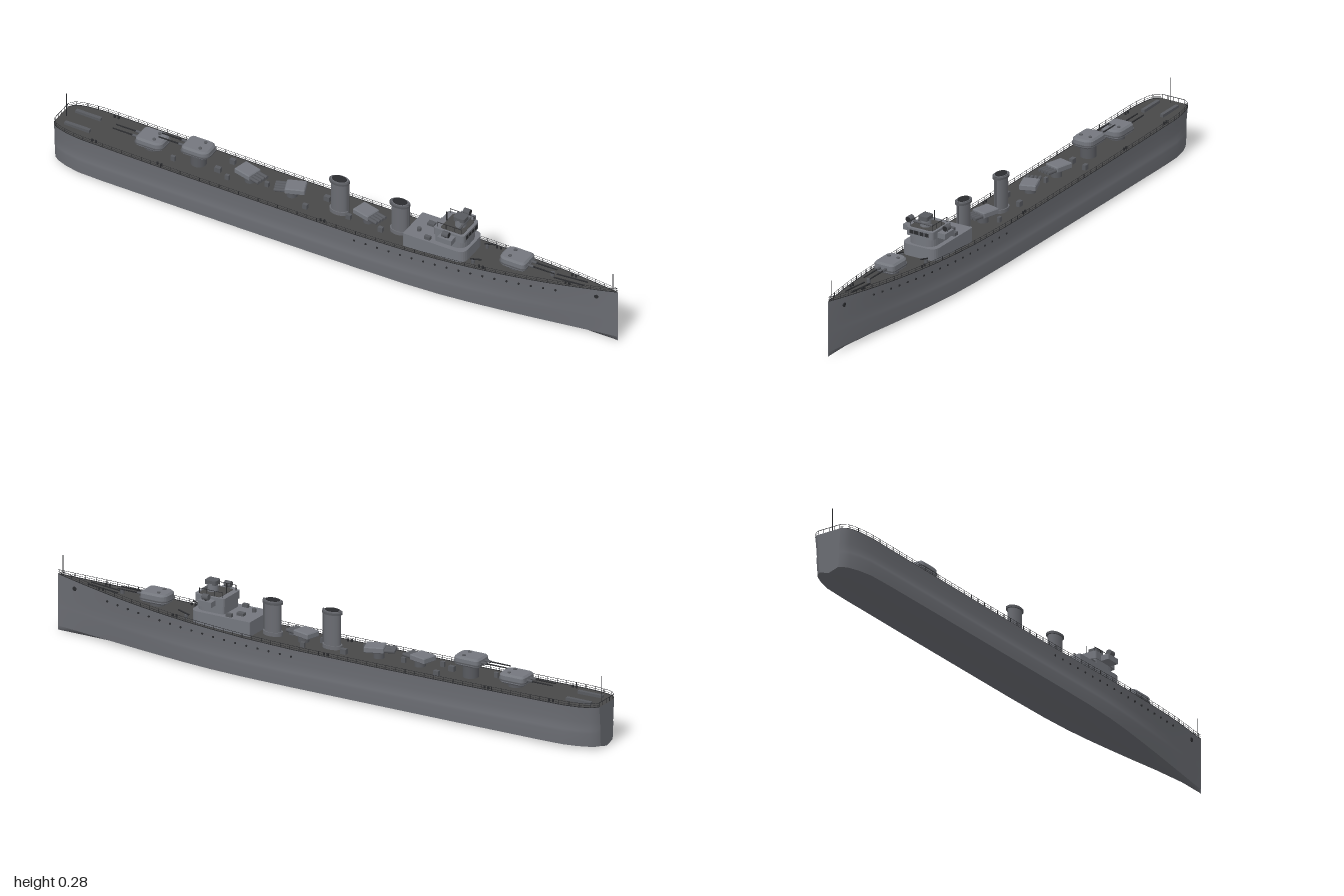
import * as THREE from 'three';

const mat = (name, color) => Object.assign(new THREE.MeshStandardMaterial({ color }), { name });
const GREY = mat('hull grey', 0x6a6c72);
const LIGHT = mat('superstructure grey', 0x74777e);
const DECK = mat('deck dark grey', 0x484848);
const DARK = mat('fittings charcoal', 0x2a2b2e);
const FITTING = mat('equipment grey', 0x585a5f);

// Deck half-width, deck height and bottom fullness along the hull
const STATIONS = [
  [-1, 0.045, 0.143, 0.75], [-0.992, 0.058, 0.143, 0.8], [-0.975, 0.068, 0.143, 0.85],
  [-0.94, 0.077, 0.142, 0.92], [-0.89, 0.083, 0.141, 0.98], [-0.8, 0.084, 0.14, 1],
  [-0.5, 0.085, 0.137, 1], [-0.2, 0.085, 0.135, 1], [0.1, 0.085, 0.135, 1],
  [0.28, 0.083, 0.139, 1], [0.4, 0.079, 0.144, 0.98], [0.5, 0.073, 0.149, 0.93],
  [0.6, 0.064, 0.155, 0.87], [0.7, 0.053, 0.162, 0.8], [0.8, 0.039, 0.17, 0.72],
  [0.9, 0.021, 0.178, 0.66], [0.96, 0.009, 0.183, 0.62], [1, 0.0008, 0.187, 0.6],
];
function at(x, col) {
  let i = 1;
  while (i < STATIONS.length - 1 && STATIONS[i][0] < x) i++;
  const a = STATIONS[i - 1], b = STATIONS[i];
  return THREE.MathUtils.lerp(a[col], b[col], (x - a[0]) / (b[0] - a[0]));
}
const halfWidth = (x) => at(x, 1), deckY = (x) => at(x, 2);

function add(parent, name, geo, material, x = 0, y = 0, z = 0) {
  const m = new THREE.Mesh(geo, material);
  m.name = name;
  m.position.set(x, y, z);
  parent.add(m);
  return m;
}
const box = (w, h, d) => new THREE.BoxGeometry(w, h, d);
const cyl = (r, h, n = 16, r2 = r) => new THREE.CylinderGeometry(r2, r, h, n);

// Smooth surface through equal-length rows of points
function skin(rows) {
  const n = rows[0].length, idx = [];
  for (let i = 0; i < rows.length - 1; i++) for (let k = 0; k < n - 1; k++) {
    const a = i * n + k, b = a + n;
    idx.push(a, a + 1, b, b, a + 1, b + 1);
  }
  const g = new THREE.BufferGeometry();
  g.setAttribute('position', new THREE.Float32BufferAttribute(rows.flat(2), 3));
  g.setIndex(idx);
  g.computeVertexNormals();
  return g;
}

// Upright block with a rounded-rectangle plan: corner radii for aft and fore
function block(x0, x1, hw, h, aft, fore, bevel = 0) {
  const s = new THREE.Shape();
  s.moveTo(x0 + aft, -hw).lineTo(x1 - fore, -hw);
  s.quadraticCurveTo(x1, -hw, x1, -hw + fore).lineTo(x1, hw - fore);
  s.quadraticCurveTo(x1, hw, x1 - fore, hw).lineTo(x0 + aft, hw);
  s.quadraticCurveTo(x0, hw, x0, hw - aft).lineTo(x0, -hw + aft);
  s.quadraticCurveTo(x0, -hw, x0 + aft, -hw);
  const g = new THREE.ExtrudeGeometry(s, {
    depth: h - 2 * bevel, curveSegments: 6, bevelEnabled: bevel > 0,
    bevelSize: bevel, bevelThickness: bevel, bevelOffset: -bevel, bevelSegments: 1,
  });
  return g.rotateX(-Math.PI / 2).translate(0, bevel, 0);
}

function buildHull(g) {
  // Side levels: height fraction of the deck, width fraction of the deck edge
  const levels = [[1, 1], [0.85, 0.985], [0.65, 0.975], [0.52, 0.985], [0.45, 1.015], [0.38, 1.03], [0.2, 1.03], [0.08, 1.025]];
  const side = (s) => STATIONS.map(([x, w, y, full]) => {
    const row = levels.map(([fy, fw]) => [x, y * fy, s * w * fw * THREE.MathUtils.lerp(full, 1, fy)]);
    return s > 0 ? row : row.reverse();
  });
  const port = side(1), star = side(-1), last = levels.length - 1;
  add(g, 'hullSideRight', skin(port), GREY);
  add(g, 'hullSideLeft', skin(star), GREY);
  add(g, 'hullBottom', skin(port.map((r, i) => [r[last], [r[0][0], 0.001, 0], star[i][0]])), GREY);
  add(g, 'deck', skin(port.map((r, i) => [star[i][last], r[0]])), DECK);
  const end = port[0].map((p, k) => [p, star[0][last - k]]);
  end.push([[-1, 0.001, 0], [-1, 0.001, 0]]);
  add(g, 'transom', skin(end), GREY).material.side = THREE.DoubleSide;

  // Stem edge, portholes and hawse pipes
  add(g, 'stem', box(0.003, 0.184, 0.002), GREY, 0.9985, 0.093, 0);
  for (const s of [-1, 1]) {
    for (let i = 0; i < 18; i++) {
      const x = 0.1 + i * 0.041, y = deckY(x) - 0.023;
      add(g, 'porthole', cyl(0.0035, 0.004, 8).rotateX(Math.PI / 2), DARK, x, y, s * halfWidth(x) * 0.985);
    }
    add(g, 'hawsePipe', cyl(0.007, 0.006, 10).rotateX(Math.PI / 2), DARK, 0.93, 0.155, s * 0.0135);
  }
}

function buildRails(g) {
  for (const s of [-1, 1]) {
    const edge = (h) => new THREE.CatmullRomCurve3(
      STATIONS.map(([x, w, y]) => new THREE.Vector3(x * 0.998, y + h, s * w * 0.985)), false, 'centripetal');
    for (const [h, r] of [[0.001, 0.0014], [0.007, 0.0006], [0.014, 0.0007]])
      add(g, 'deckRail', new THREE.TubeGeometry(edge(h), 90, r, 4), DARK);
    for (let x = -0.98; x < 0.99; x += 0.035)
      add(g, 'railPost', box(0.0013, 0.014, 0.0013), DARK, x, deckY(x) + 0.007, s * halfWidth(x) * 0.985);
  }
  for (let z = -0.04; z <= 0.041; z += 0.02) add(g, 'sternRailPost', box(0.0013, 0.014, 0.0013), DARK, -0.998, 0.15, z);
  add(g, 'sternRail', box(0.0013, 0.0013, 0.09), DARK, -0.998, 0.157, 0);
  add(g, 'sternStaff', cyl(0.0012, 0.087, 6), DARK, -0.98, 0.186, 0);
  add(g, 'bowStaff', cyl(0.0012, 0.068, 6), DARK, 0.982, 0.218, 0);
}

// Twin gun mount, barrels along +x before turning
function buildTurret(g, name, x, y, h, turn) {
  const t = new THREE.Group();
  t.name = name;
  t.position.set(x, y, 0);
  t.rotation.y = turn;
  g.add(t);
  const base = y - deckY(x);
  add(t, 'barbette', cyl(0.026, base + 0.004, 20), FITTING, 0, -base / 2, 0);
  add(t, 'gunhouse', block(-0.048, 0.046, 0.037, h, 0.028, 0.016, 0.006), LIGHT);
  add(t, 'gunhouseRim', block(-0.051, 0.049, 0.039, 0.004, 0.028, 0.016), FITTING, 0, h * 0.3, 0);
  for (const s of [-1, 1]) {
    add(t, 'gunBarrel', cyl(0.0028, 0.1, 8, 0.002).rotateZ(-Math.PI / 2), DARK, 0.088, h * 0.52, s * 0.011);
    add(t, 'barrelSleeve', cyl(0.0045, 0.025, 8).rotateZ(-Math.PI / 2), FITTING, 0.053, h * 0.52, s * 0.011);
    add(t, 'roofHatch', cyl(0.006, 0.003, 10), FITTING, -0.015, h + 0.001, s * 0.017);
  }
}

// Trainable tube launcher, tubes along +x before turning
function buildLauncher(g, x, turn) {
  const t = new THREE.Group();
  t.name = 'tubeLauncher';
  t.position.set(x, deckY(x), 0);
  t.rotation.y = turn;
  g.add(t);
  add(t, 'launcherPedestal', cyl(0.018, 0.022, 16), FITTING, 0, 0.011, 0);
  add(t, 'launcherHousing', block(-0.044, 0.02, 0.027, 0.02, 0.004, 0.004, 0.003), LIGHT, 0, 0.021, 0);
  for (let i = -1.5; i <= 1.5; i++)
    add(t, 'launchTube', cyl(0.0058, 0.045, 10).rotateZ(Math.PI / 2), FITTING, 0.032, 0.029, i * 0.0128);
}

function buildFunnel(g, x, top) {
  const y0 = deckY(x) - 0.003, h = top - y0, oval = (r, len) => cyl(r, len, 28).scale(1, 1, 0.66);
  add(g, 'funnel', oval(0.029, h), GREY, x, y0 + h / 2, 0);
  add(g, 'funnelBase', oval(0.034, 0.014), GREY, x, y0 + 0.008, 0);
  add(g, 'funnelCap', oval(0.035, 0.007), FITTING, x, top - 0.007, 0);
  add(g, 'funnelMouth', oval(0.025, 0.003), DARK, x, top, 0);
  add(g, 'steamPipe', cyl(0.003, h, 8), FITTING, x + 0.032, y0 + h / 2, 0);
}

function buildBridge(g) {
  add(g, 'deckhouse', block(0.263, 0.482, 0.063, 0.056, 0.004, 0.03), LIGHT, 0, 0.131, 0);
  add(g, 'bridgeLower', block(0.368, 0.472, 0.047, 0.03, 0.01, 0.035), LIGHT, 0, 0.186, 0);
  add(g, 'bridgeUpper', block(0.365, 0.474, 0.05, 0.026, 0.008, 0.012), LIGHT, 0, 0.214, 0);
  add(g, 'bridgeRoof', block(0.385, 0.464, 0.042, 0.002, 0.008, 0.012), DECK, 0, 0.2395, 0);
  for (const z of [-0.028, -0.0095, 0.0095, 0.028])
    add(g, 'bridgeWindow', box(0.003, 0.012, 0.015), DARK, 0.474, 0.228, z);
  // Director tower with its rangefinder
  add(g, 'directorTower', cyl(0.018, 0.03, 20), LIGHT, 0.435, 0.253, 0);
  add(g, 'directorHead', block(0.416, 0.456, 0.017, 0.014, 0.008, 0.006), FITTING, 0, 0.264, 0);
  add(g, 'rangefinder', cyl(0.004, 0.07, 10).rotateX(Math.PI / 2), FITTING, 0.45, 0.254, 0);
  add(g, 'bridgeMast', cyl(0.0016, 0.05, 6), DARK, 0.385, 0.25, 0);
  for (const s of [-1, 1]) {
    add(g, 'bridgeWing', box(0.05, 0.018, 0.03), LIGHT, 0.42, 0.223, s * 0.063);
    add(g, 'searchlightStand', cyl(0.004, 0.008, 8), DARK, 0.42, 0.235, s * 0.068);
    add(g, 'searchlight', cyl(0.01, 0.022, 16).rotateZ(Math.PI / 2), FITTING, 0.42, 0.244, s * 0.068);
    add(g, 'searchlightLens', cyl(0.0085, 0.002, 16).rotateZ(Math.PI / 2), DARK, 0.431, 0.244, s * 0.068);
    for (const x of [0.375, 0.405, 0.435, 0.46])
      add(g, 'bridgeRailPost', box(0.0016, 0.018, 0.0016), DARK, x, 0.249, s * 0.04);
    add(g, 'bridgeRail', box(0.086, 0.0014, 0.0014), DARK, 0.418, 0.257, s * 0.04);
    // Light guns abreast of the bridge and on the deckhouse
    add(g, 'lightGunStand', cyl(0.006, 0.014, 10), FITTING, 0.505, 0.155, s * 0.045);
    add(g, 'lightGun', cyl(0.0025, 0.04, 8).rotateZ(-1.3), DARK, 0.515, 0.167, s * 0.045);
    add(g, 'sideLocker', box(0.02, 0.012, 0.012), FITTING, 0.345, 0.192, s * 0.05);
  }
  add(g, 'roofVent', cyl(0.007, 0.012, 12), FITTING, 0.3, 0.192, 0.025);
  add(g, 'roofLocker', box(0.025, 0.01, 0.018), FITTING, 0.32, 0.191, -0.02);
}

function buildDeckFittings(g) {
  for (const s of [-1, 1]) for (const x of [-0.84, -0.605, -0.02, 0.54, 0.83]) for (const d of [-0.007, 0.007])
    add(g, 'bollard', cyl(0.0035, 0.009, 8), DARK, x + d, deckY(x) + 0.004, s * (halfWidth(x) - 0.012));
  const lockers = [[-0.41, -0.05, 0.018], [-0.385, 0.03, 0.014], [-0.26, 0, 0.014], [-0.06, -0.03, 0.02], [-0.1, 0.04, 0.016],
    [0.045, 0.02, 0.016], [0.08, -0.045, 0.014], [0.165, 0.03, 0.016], [-0.58, 0.03, 0.014], [-0.43, 0.01, 0.02]];
  for (const [x, z, w] of lockers) add(g, 'deckLocker', box(w, 0.018, w * 0.7), FITTING, x, deckY(x) + 0.008, z);
  for (const s of [-1, 1]) {
    add(g, 'anchorChain', box(0.11, 0.003, 0.004), DARK, 0.83, 0.174, s * 0.01).rotation.z = 0.08;
    add(g, 'sternRack', box(0.09, 0.01, 0.012), FITTING, -0.92, 0.146, s * 0.035);
  }
  add(g, 'anchorCapstan', cyl(0.007, 0.014, 12), FITTING, 0.765, 0.173, 0);
}

export function createModel() {
  const g = new THREE.Group();
  g.name = 'warship';
  buildHull(g);
  buildRails(g);
  buildTurret(g, 'foreTurret', 0.637, 0.167, 0.035, 0);
  buildTurret(g, 'aftTurret', -0.67, 0.15, 0.033, Math.PI);
  buildTurret(g, 'aftRaisedTurret', -0.505, 0.178, 0.031, Math.PI);
  buildLauncher(g, -0.32, -0.25);
  buildLauncher(g, -0.17, Math.PI + 0.35);
  buildLauncher(g, 0.105, -0.25);
  buildFunnel(g, 0, 0.26);
  buildFunnel(g, 0.217, 0.252);
  buildBridge(g);
  buildDeckFittings(g);
  return g;
}
